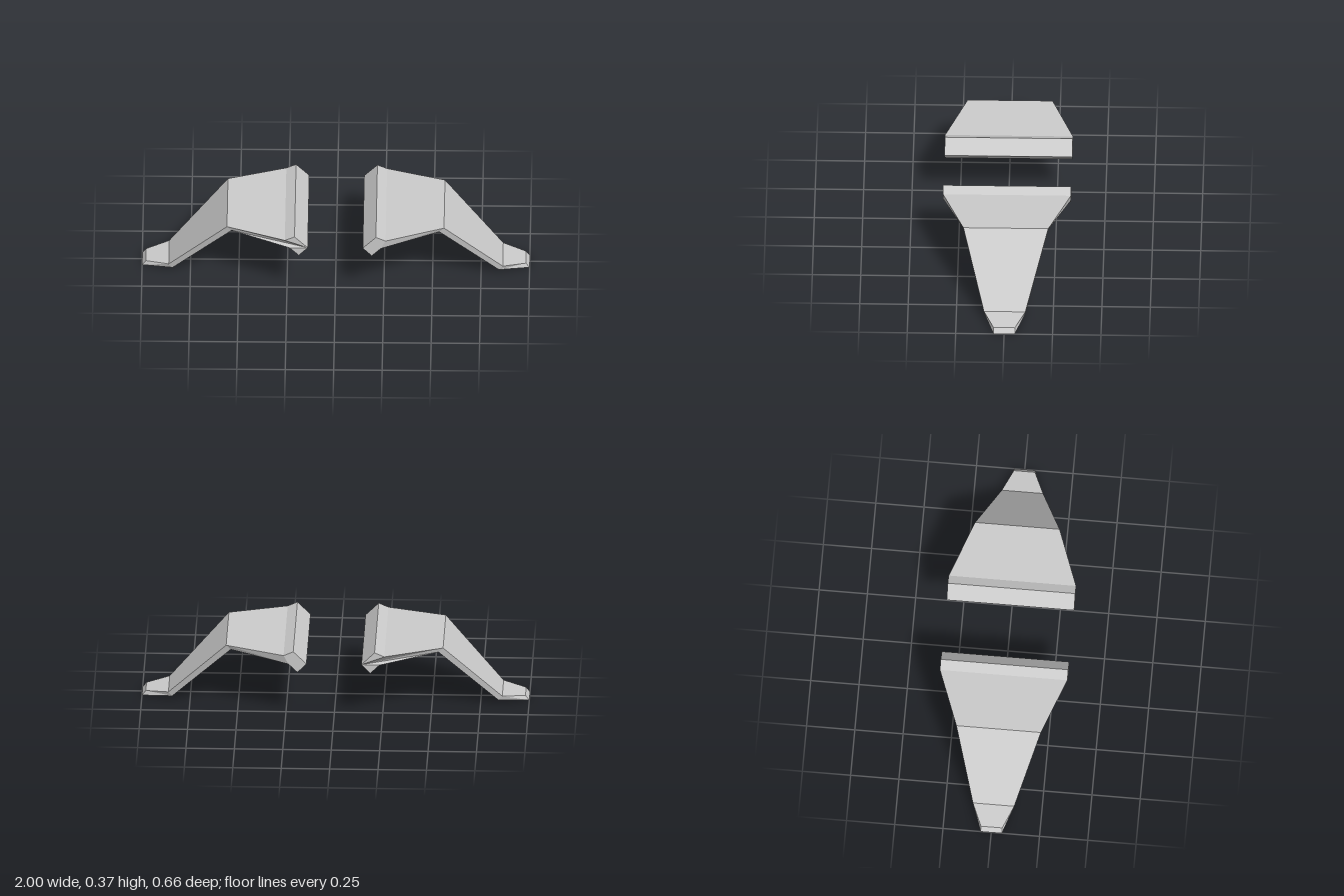
import * as THREE from 'three';

// Side profile of one leg: thick inner rail, sloping plate, shin and flat foot
const profile = [
  [0.142, 0.303], [0.21, 0.37], [0.26, 0.348], [0.56, 0.355], [0.862, 0.042], [0.98, 0.026],
  [1.0, 0.0], [0.842, 0.02], [0.536, 0.332], [0.235, 0.301], [0.188, 0.255],
];

// Half width at each joint, narrowing from the rail to the toe
function halfWidth(x) {
  if (x < 0.3) return 0.33;
  if (x < 0.6) return 0.219;
  if (x < 0.9) return 0.107;
  return 0.055;
}

function makeLeg(side, material) {
  const shape = new THREE.Shape(profile.map(([x, y]) => new THREE.Vector2(side * x, y)));
  const geometry = new THREE.ExtrudeGeometry(shape, { depth: 2, bevelEnabled: false });
  // Taper the extrusion towards the toe
  const p = geometry.attributes.position;
  for (let i = 0; i < p.count; i++) {
    p.setZ(i, (p.getZ(i) - 1) * halfWidth(Math.abs(p.getX(i))));
  }
  geometry.computeVertexNormals();
  return new THREE.Mesh(geometry, material);
}

export function createModel() {
  const model = new THREE.Group();
  model.name = 'taperedLegs';
  const material = new THREE.MeshStandardMaterial({ color: 0xcccccc, flatShading: true });
  for (const side of [1, -1]) {
    const leg = makeLeg(side, material);
    leg.name = side > 0 ? 'leftLeg' : 'rightLeg';
    model.add(leg);
  }
  return model;
}
